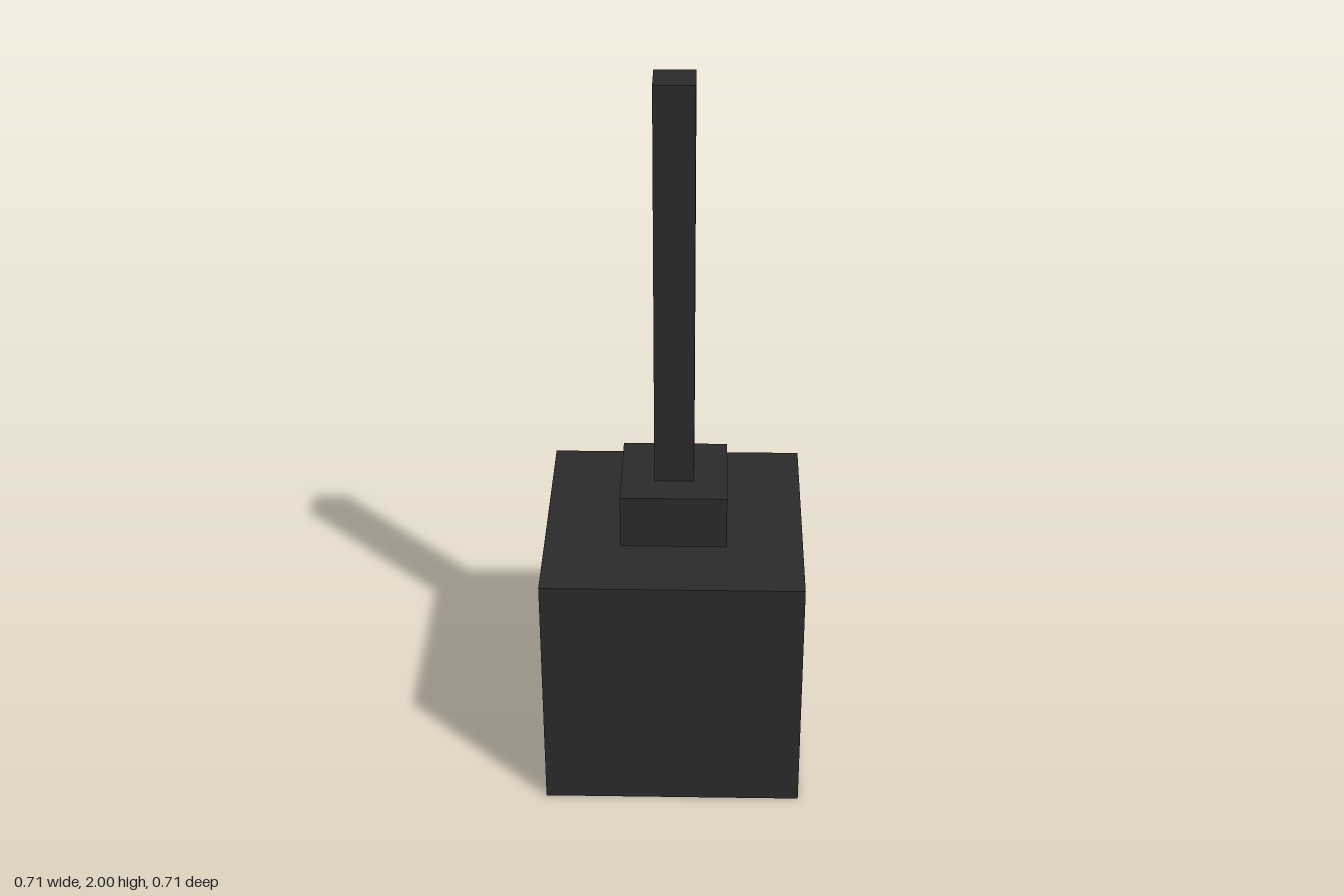
import * as THREE from 'three';

const metal = new THREE.MeshStandardMaterial({ color: 0x2a2a2a });
const glow = new THREE.MeshStandardMaterial({ color: 0xe8d8a0 });

// square block of a given width between two heights
function block(name, width, bottom, top, material) {
  const mesh = new THREE.Mesh(new THREE.BoxGeometry(width, top - bottom, width), material);
  mesh.position.y = (bottom + top) / 2;
  mesh.name = name;
  return mesh;
}

// square hollow: a profile of [half width, y] swept round four sides
function squareSweep(name, profile, material) {
  const points = profile.map(([half, y]) => new THREE.Vector2(half * Math.SQRT2, y));
  const geometry = new THREE.LatheGeometry(points, 4, Math.PI / 4).toNonIndexed();
  geometry.computeVertexNormals();
  const mesh = new THREE.Mesh(geometry, material);
  mesh.name = name;
  return mesh;
}

export function createModel() {
  const lamp = new THREE.Group();
  lamp.name = 'pendantLamp';

  const half = 0.353, wall = 0.046, height = 0.707;
  const ceiling = height - wall;

  // box shade, open at the bottom
  lamp.add(squareSweep('shade', [
    [0, ceiling], [half - wall, ceiling], [half - wall, 0],
    [half, 0], [half, height], [0, height],
  ], metal));

  // light block hanging inside the shade
  lamp.add(block('bulb', 0.265, 0.14, ceiling, glow));

  // collar and hanging rod
  lamp.add(block('collar', 0.29, height, 0.86, metal));
  lamp.add(block('rod', 0.108, 0.86, 2, metal));

  return lamp;
}
